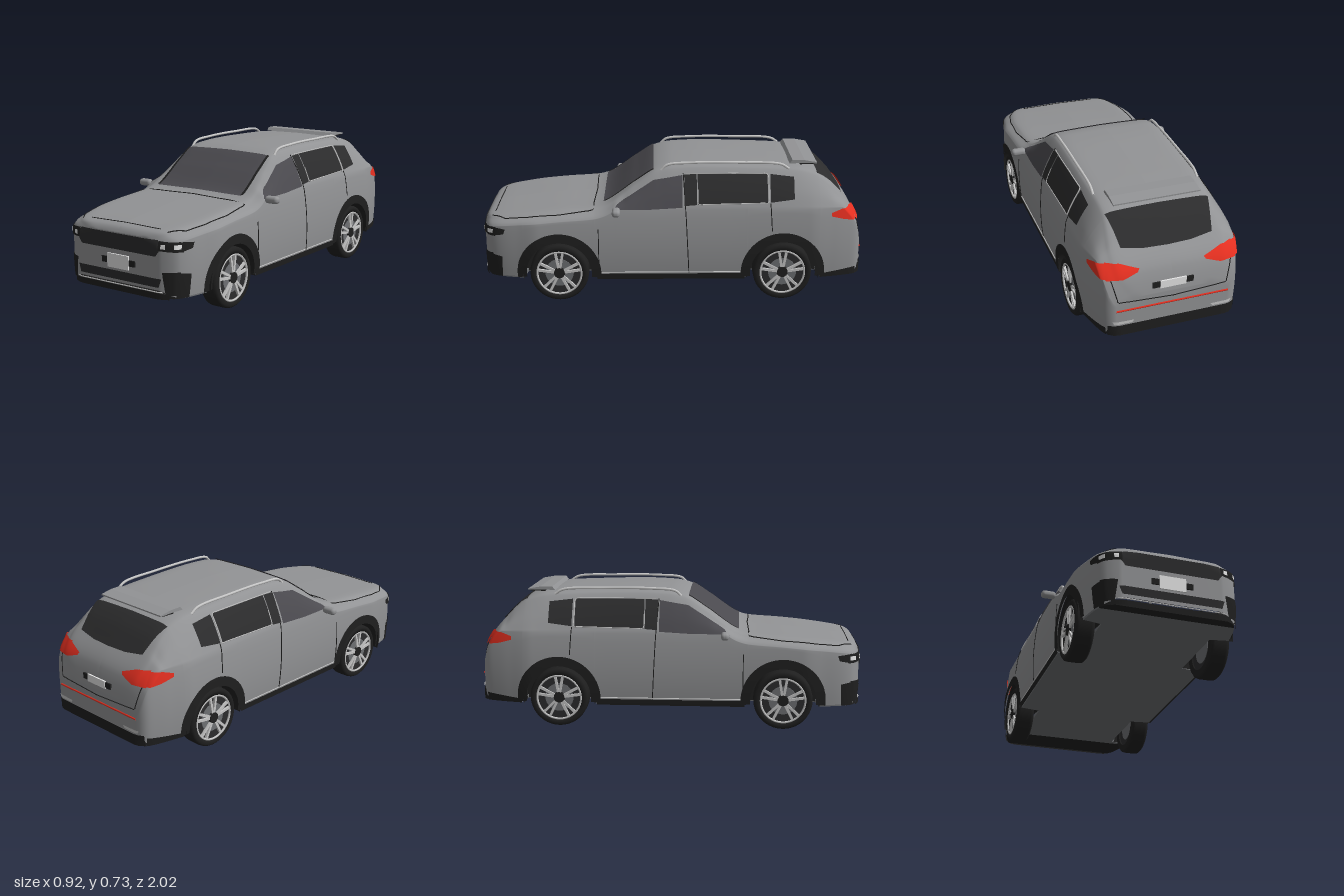
import * as THREE from 'three';
import { RoundedBoxGeometry } from 'three/addons/geometries/RoundedBoxGeometry.js';

const mat = (name, color, side = THREE.FrontSide) => {
  const m = new THREE.MeshStandardMaterial({ color, side });
  m.name = name;
  return m;
};
const D = THREE.DoubleSide;
const paint = mat('grey paint', 0x929395), glass = mat('glass', 0x4b4a4f, D),
  darkGlass = mat('dark glass', 0x2c2c2d, D), black = mat('black plastic', 0x1f1f1f, D),
  floorMat = mat('floor', 0x6e7073), red = mat('red lamp', 0xf03222, D),
  silver = mat('silver', 0xc6c6c6, D), white = mat('plate white', 0xe6e6e6, D);

const WHEEL_Z = [0.6, -0.58], WHEEL_Y = 0.155, ARCH = 0.19;

// Monotone smooth interpolation through [z, value] knots
function curve(k) {
  const n = k.length, s = [], m = [];
  for (let i = 0; i < n - 1; i++) s.push((k[i + 1][1] - k[i][1]) / (k[i + 1][0] - k[i][0]));
  for (let i = 0; i < n; i++) {
    const a = s[Math.max(i - 1, 0)], b = s[Math.min(i, n - 2)];
    m.push(a * b > 0 ? 2 * a * b / (a + b) : 0);
  }
  return z => {
    z = Math.min(Math.max(z, k[0][0]), k[n - 1][0]);
    let i = 0;
    while (i < n - 2 && z > k[i + 1][0]) i++;
    const h = k[i + 1][0] - k[i][0], t = (z - k[i][0]) / h, u = 1 - t;
    return k[i][1] * (1 + 2 * t) * u * u + m[i] * h * t * u * u
      + k[i + 1][1] * t * t * (3 - 2 * t) - m[i + 1] * h * t * t * u;
  };
}

// Body rules along z: half-width, roof/hood height, roof half-width, lower edge
const width = curve([[-1, 0.29], [-0.99, 0.322], [-0.97, 0.342], [-0.93, 0.358], [-0.85, 0.38], [-0.72, 0.403],
  [-0.3, 0.4], [0.35, 0.4], [0.7, 0.403], [0.82, 0.382], [0.9, 0.364], [0.96, 0.335], [0.985, 0.295], [1, 0.25]]);
const top = curve([[-1, 0.33], [-0.99, 0.385], [-0.975, 0.44], [-0.95, 0.485], [-0.9, 0.545], [-0.82, 0.63],
  [-0.75, 0.677], [-0.65, 0.703], [-0.5, 0.713], [-0.15, 0.722], [0, 0.716], [0.08, 0.7], [0.2, 0.625],
  [0.36, 0.515], [0.42, 0.5], [0.6, 0.487], [0.8, 0.467], [0.95, 0.447], [0.985, 0.435], [1, 0.412]]);
const roofWidth = curve([[-1, 0.22], [-0.97, 0.29], [-0.9, 0.305], [-0.75, 0.29], [-0.5, 0.295], [0.05, 0.295],
  [0.36, 0.345], [0.7, 0.35], [0.9, 0.32], [0.97, 0.28], [1, 0.21]]);
const sill = curve([[-1, 0.17], [-0.96, 0.13], [0.96, 0.13], [1, 0.16]]);
const belt = z => Math.min(0.5, top(z) - 0.05);
const sideX = (z, y) => width(z) * (1 - 0.95 * (y - 0.3) ** 2);
function lowerEdge(z) {
  let y = sill(z);
  for (const c of WHEEL_Z)
    if (Math.abs(z - c) <= ARCH) y = Math.max(y, WHEEL_Y + Math.sqrt(ARCH ** 2 - (z - c) ** 2));
  return y;
}
// Shoulder-to-centreline part of a cross-section
function upper(z) {
  const b = belt(z), t = top(z), w = roofWidth(z), e = sideX(z, b), d = Math.min(0.035, 0.42 * (t - b));
  const P = (x, y) => new THREE.Vector2(x, y);
  return new THREE.SplineCurve([P(e, b), P((e + w) / 2 + 0.008, (b + t - d) / 2), P(w, t - d),
    P(w - 0.04, t - d * 0.27), P(w * 0.5, t - 0.003), P(0, t)]).getPoints(20);
}
function along(pts, from, to, v) {
  for (let i = 0; i < pts.length - 1; i++) {
    const a = pts[i], b = pts[i + 1];
    if ((a[from] - v) * (b[from] - v) <= 0 && a[from] !== b[from])
      return a[to] + (b[to] - a[to]) * (v - a[from]) / (b[from] - a[from]);
  }
  return 0;
}
const halfX = (z, y) => y <= belt(z) ? sideX(z, y) : along(upper(z), 'y', 'x', y);
function endZ(x, y, s) {
  let a = 0.5, b = 1;
  for (let i = 0; i < 18; i++) {
    const m = (a + b) / 2;
    if (y <= top(s * m) && Math.abs(x) <= halfX(s * m, y)) a = m; else b = m;
  }
  return a * s;
}
// Projectors that lay 2D outlines on the body
const onSide = (s, off = 0.005) => (z, y) => [s * (halfX(z, y) + off), y, z];
const onEnd = (s, off = 0.005) => (x, y) => [x, y, endZ(x, y, s) + s * off];
const onTop = (off = 0.005) => (x, z) => [x, along(upper(z), 'x', 'y', Math.abs(x)) + off, z];

function grid(rows, close) {
  const n = rows[0].length, idx = [], g = new THREE.BufferGeometry();
  for (let i = 0; i < rows.length - 1; i++)
    for (let j = 0; j < n - 1; j++) {
      const a = i * n + j, b = a + n;
      idx.push(a, a + 1, b, a + 1, b + 1, b);
    }
  if (close) for (let j = 0; j < n / 2 - 1; j++) {
    const k = n - 1 - j, o = (rows.length - 1) * n;
    idx.push(o + j, o + j + 1, o + k, o + j + 1, o + k - 1, o + k);
    idx.push(j, k, j + 1, j + 1, k, k - 1);
  }
  g.setAttribute('position', new THREE.Float32BufferAttribute(rows.flat(2), 3));
  g.setIndex(idx);
  g.computeVertexNormals();
  return g;
}

export function createModel() {
  const car = new THREE.Group();
  car.name = 'car';
  const add = (name, geo, m, parent = car, p = [0, 0, 0]) => {
    const mesh = new THREE.Mesh(geo, m);
    mesh.name = name;
    mesh.position.set(...p);
    parent.add(mesh);
    return mesh;
  };
  const box = (name, m, s, p) => add(name, new THREE.BoxGeometry(...s), m, car, p);
  const pick = (line, u) => {
    const f = u * (line.length - 1), i = Math.min(Math.floor(f), line.length - 2), t = f - i;
    return [0, 1].map(c => line[i][c] * (1 - t) + line[i + 1][c] * t);
  };
  // Thin plate between two edge lines, laid on the body
  const patch = (name, m, low, high, proj, nu = 24, nv = 8) => {
    const rows = [];
    for (let v = 0; v <= nv; v++) {
      rows.push([]);
      for (let u = 0; u <= nu; u++) {
        const a = pick(low, u / nu), b = pick(high, u / nu), t = v / nv;
        rows[v].push(proj(a[0] + (b[0] - a[0]) * t, a[1] + (b[1] - a[1]) * t));
      }
    }
    add(name, grid(rows), m);
  };
  const rect = (name, m, x0, x1, y0, y1, proj) => patch(name, m, [[x0, y0], [x1, y0]], [[x0, y1], [x1, y1]], proj);
  const seam = (name, m, line, proj, r = 0.0025) => {
    const pts = [];
    for (let i = 0; i <= 40; i++) pts.push(new THREE.Vector3(...proj(...pick(line, i / 40))));
    add(name, new THREE.TubeGeometry(new THREE.CatmullRomCurve3(pts), 80, r, 5), m);
  };

  // Body shell, lofted along z with the wheel openings cut into its lower edge
  const zs = Array.from({ length: 161 }, (_, i) => -1 + i / 80);
  for (const c of WHEEL_Z) for (const s of [-1, 1]) zs.push(c + s * (ARCH - 0.0005), c + s * (ARCH + 0.0005));
  zs.push(-0.995, 0.995);
  zs.sort((a, b) => a - b);
  add('bodyShell', grid(zs.map(z => {
    const half = [], b = lowerEdge(z);
    for (let i = 0; i < 8; i++) {
      const y = b + (belt(z) - b) * i / 8;
      half.push([sideX(z, y), y, z]);
    }
    upper(z).forEach(p => half.push([p.x, p.y, z]));
    return [...half, ...half.map(([x, y]) => [-x, y, z]).reverse()];
  }), true), paint);

  // Floor pan, notched at the wheels, with black bumper undersides
  for (const [name, m, z0, z1] of [['floorPan', floorMat, -0.8, 0.93], ['rearUnderside', black, -0.985, -0.8], ['frontUnderside', black, 0.93, 0.985]]) {
    const edge = Array.from({ length: 101 }, (_, i) => {
      const z = z0 + (z1 - z0) * i / 100;
      return [WHEEL_Z.some(c => Math.abs(z - c) < ARCH) ? 0.28 : width(z) * 0.965, z];
    });
    const plan = new THREE.Shape([...edge, ...edge.map(([x, z]) => [-x, z]).reverse()].map(p => new THREE.Vector2(...p)));
    add(name, new THREE.ExtrudeGeometry(plan, { depth: 0.018, bevelEnabled: false }).rotateX(Math.PI / 2), m, car, [0, 0.14, 0]);
  }

  // Glass, hood lines and roof
  patch('windshield', glass, [[-0.275, 0.365], [0.275, 0.365]], [[-0.265, 0.1], [0.265, 0.1]], onTop(0.006), 24, 24);
  for (const s of [-1, 1]) patch('windshieldTrim', black, [[s * 0.267, 0.36], [s * 0.282, 0.36]], [[s * 0.257, 0.1], [s * 0.27, 0.1]], onTop(0.008), 3, 24);
  patch('rearWindow', darkGlass, [[-0.268, -0.76], [0.268, -0.76]],
    [[-0.235, -0.898], [-0.12, -0.912], [0, -0.916], [0.12, -0.912], [0.235, -0.898]], onTop(0.007), 24, 20);
  seam('hoodSeam', black, [[-0.27, 0.955], [-0.325, 0.88], [-0.347, 0.77], [-0.355, 0.6], [-0.335, 0.42], [0, 0.41],
    [0.335, 0.42], [0.355, 0.6], [0.347, 0.77], [0.325, 0.88], [0.27, 0.955]], onTop(0.001), 0.003);
  seam('hoodCrease', black, [[-0.22, 0.945], [0.22, 0.945]], onTop(0.001));
  const flap = new THREE.Shape([[0.62, 0.703], [0.635, 0.722], [0.7, 0.721], [0.765, 0.71], [0.765, 0.703], [0.7, 0.706]].map(p => new THREE.Vector2(...p)));
  add('spoiler', new THREE.ExtrudeGeometry(flap, { depth: 0.45, bevelEnabled: false }).rotateY(Math.PI / 2), paint, car, [-0.225, 0, 0]);
  box('spoilerUnderside', black, [0.44, 0.004, 0.08], [0, 0.7, -0.715]).rotation.x = 0.03;

  // Front end
  patch('grille', darkGlass, [[-0.265, 0.365], [-0.235, 0.325], [0.235, 0.325], [0.265, 0.365]], [[-0.265, 0.37], [-0.245, 0.405], [0.245, 0.405], [0.265, 0.37]], onEnd(1, 0.006), 36);
  patch('lowerIntake', darkGlass, [[-0.25, 0.175], [0.25, 0.175]], [[-0.265, 0.218], [0.265, 0.218]], onEnd(1));
  rect('frontLip', black, -0.3, 0.3, 0.118, 0.143, onEnd(1, 0.006));
  seam('lipTrim', silver, [[-0.27, 0.152], [0.27, 0.152]], onEnd(1, 0.004), 0.003);
  // Rear end
  rect('rearBumperTrim', black, -0.33, 0.33, 0.122, 0.18, onEnd(-1, 0.006));
  seam('rearRedStrip', red, [[-0.29, 0.262], [0.29, 0.262]], onEnd(-1, 0.002), 0.005);
  seam('tailgateSeam', black, [[-0.31, 0.43], [-0.28, 0.31], [0, 0.295], [0.28, 0.31], [0.31, 0.43]], onEnd(-1, 0.001));
  for (const [s, y] of [[1, 0.266], [-1, 0.37]]) {
    const z = endZ(0, y, s);
    box('plateMount', black, [0.21, 0.03, 0.008], [0, y, z + s * 0.003]);
    box('numberPlate', white, [0.134, s > 0 ? 0.07 : 0.04, 0.008], [0, y, z + s * 0.006]);
  }

  for (const s of [-1, 1]) {
    const side = onSide(s), raised = onSide(s, 0.009);
    // Lamps and bumper corners
    patch('headlight', black, [[s * 0.25, 0.355], [s * 0.352, 0.35]], [[s * 0.25, 0.402], [s * 0.352, 0.398]], onEnd(1, 0.007));
    patch('headlightWrap', black, [[0.955, 0.35], [0.89, 0.365]], [[0.955, 0.4], [0.88, 0.392]], side);
    for (const x of [0.277, 0.337]) rect('lampLens', white, s * (x - 0.011), s * (x + 0.011), 0.365, 0.387, onEnd(1, 0.011));
    patch('cornerVent', black, [[s * 0.285, 0.14], [s * 0.345, 0.14]], [[s * 0.27, 0.25], [s * 0.345, 0.255]], onEnd(1, 0.007));
    patch('cornerVentWrap', black, [[0.965, 0.125], [0.905, 0.125]], [[0.96, 0.25], [0.9, 0.24]], side);
    patch('tailLight', red, [[s * 0.175, 0.452], [s * 0.25, 0.428], [s * 0.335, 0.43]], [[s * 0.165, 0.466], [s * 0.25, 0.495], [s * 0.325, 0.503]], onEnd(-1, 0.01));
    patch('tailLightWrap', red, [[-0.83, 0.46], [-0.9, 0.44], [-0.968, 0.43]], [[-0.83, 0.478], [-0.89, 0.498], [-0.94, 0.494]], onSide(s, 0.008));
    patch('rearBumperWrap', black, [[-0.78, 0.122], [-0.975, 0.122]], [[-0.78, 0.143], [-0.975, 0.165]], side);
    patch('exhaustTrim', silver, [[s * 0.21, 0.188], [s * 0.3, 0.188]], [[s * 0.2, 0.202], [s * 0.31, 0.204]], onEnd(-1, 0.007), 12, 2);

    // Side windows
    patch('frontSideWindow', glass, [[0.31, 0.503], [0.12, 0.503], [-0.05, 0.512]], [[0.29, 0.525], [0.1, 0.643], [-0.05, 0.668]], side, 32);
    patch('pillarCover', darkGlass, [[-0.06, 0.52], [-0.125, 0.525]], [[-0.06, 0.67], [-0.125, 0.673]], side);
    patch('rearSideWindow', darkGlass, [[-0.13, 0.525], [-0.495, 0.535]], [[-0.13, 0.674], [-0.495, 0.67]], side);
    patch('quarterWindow', darkGlass, [[-0.51, 0.535], [-0.635, 0.55]], [[-0.51, 0.67], [-0.635, 0.655]], side);
    seam('windowTrim', silver, [[-0.13, 0.6], [-0.13, 0.527], [-0.315, 0.53], [-0.5, 0.534], [-0.5, 0.672], [-0.315, 0.675], [-0.07, 0.675]], onSide(s, 0.005), 0.0028);

    // Door seams and sill
    seam('frontDoorSeam', black, [[0.39, 0.15], [0.39, 0.4]], onSide(s, 0.001));
    seam('middleDoorSeam', black, [[-0.085, 0.15], [-0.07, 0.45], [-0.055, 0.675]], onSide(s, 0.001));
    seam('rearDoorSeam', black, [[-0.52, 0.385], [-0.51, 0.53]], onSide(s, 0.001));
    rect('sillTrim', black, -0.38, 0.4, 0.118, 0.15, side);
    seam('sillBright', silver, [[-0.36, 0.157], [0.38, 0.157]], onSide(s, 0.002), 0.003);

    // Mirror and roof rail
    add('mirror', new RoundedBoxGeometry(0.078, 0.038, 0.042, 4, 0.017), paint, car, [s * 0.421, 0.5, 0.295]);
    box('mirrorArm', paint, [0.05, 0.012, 0.018], [s * 0.385, 0.493, 0.29]);
    const rail = [[0.06, 0.685], [0.03, 0.712], [-0.1, 0.724], [-0.35, 0.724], [-0.57, 0.714], [-0.61, 0.69]];
    add('roofRail', new THREE.TubeGeometry(new THREE.CatmullRomCurve3(rail.map(([z, y]) => new THREE.Vector3(s * 0.275, y, z))), 48, 0.007, 8), silver);

    for (const c of WHEEL_Z) {
      // Arch cladding and wheel well
      const arc = r => Array.from({ length: 33 }, (_, i) => {
        const a = -0.12 + i / 32 * (Math.PI + 0.24);
        return [c + r * Math.cos(a), WHEEL_Y + r * Math.sin(a)];
      });
      patch('archCladding', black, arc(0.172), arc(0.222), raised, 64, 4);
      add('wheelWell', new THREE.CylinderGeometry(ARCH, ARCH, 0.12, 32, 1, true, -0.17, Math.PI + 0.34).rotateZ(Math.PI / 2), black, car, [s * 0.34, WHEEL_Y, c]);
      add('wellWall', new THREE.CircleGeometry(ARCH, 32, -0.17, Math.PI + 0.34).rotateY(Math.PI / 2), black, car, [s * 0.281, WHEEL_Y, c]);

      // Wheel, built with its outer face towards +x
      const wheel = new THREE.Group();
      wheel.name = 'wheel';
      wheel.position.set(s * 0.35, WHEEL_Y, c);
      if (s < 0) wheel.rotation.y = Math.PI;
      car.add(wheel);
      const tyre = [[0.11, -0.048], [0.143, -0.05], [0.153, -0.04], [0.155, -0.03], [0.155, 0.03], [0.153, 0.04], [0.143, 0.05], [0.122, 0.048], [0.118, 0.03]];
      add('tyre', new THREE.LatheGeometry(tyre.map(p => new THREE.Vector2(...p)), 40).rotateZ(-Math.PI / 2), black, wheel);
      add('wheelDisc', new THREE.CylinderGeometry(0.119, 0.119, 0.07, 32).rotateZ(-Math.PI / 2), darkGlass, wheel);
      add('brakeDisc', new THREE.CylinderGeometry(0.075, 0.075, 0.076, 32).rotateZ(-Math.PI / 2), floorMat, wheel);
      add('rim', new THREE.TorusGeometry(0.117, 0.006, 6, 40).rotateY(Math.PI / 2), silver, wheel, [0.044, 0, 0]);
      for (let i = 0; i < 5; i++) for (const t of [-0.17, 0.17]) {
        const spoke = new THREE.BoxGeometry(0.014, 0.09, 0.013).translate(0.04, 0.07, 0).rotateX(i * Math.PI * 0.4 + t);
        add('spoke', spoke, silver, wheel);
      }
      add('hub', new THREE.CylinderGeometry(0.028, 0.032, 0.016, 20).rotateZ(-Math.PI / 2), black, wheel, [0.042, 0, 0]);
    }
  }
  return car;
}
